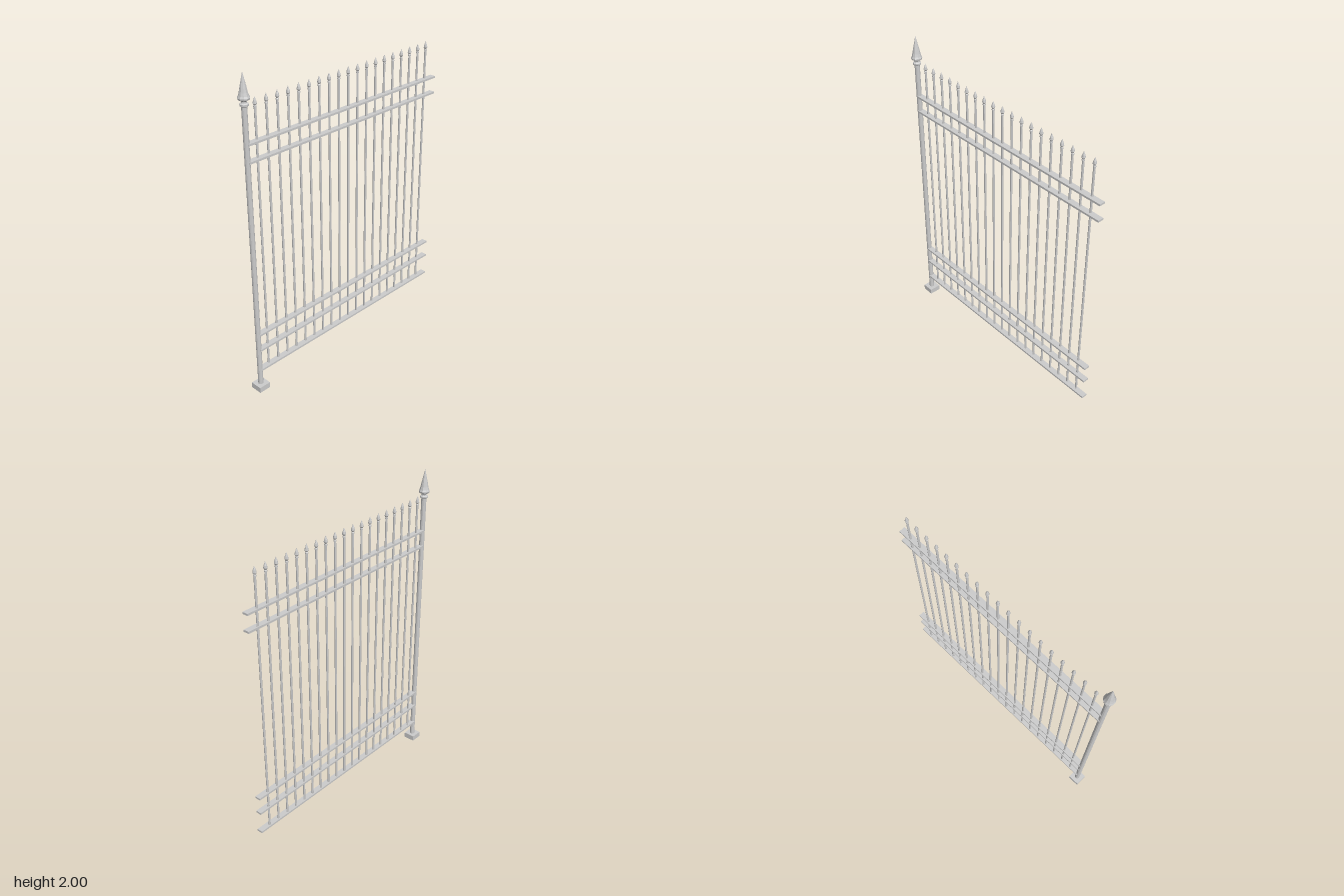
import * as THREE from 'three';

const material = new THREE.MeshStandardMaterial({ color: 0xcccccc, flatShading: true });

function addMesh(parent, name, geometry, x, y, z) {
  const mesh = new THREE.Mesh(geometry, material);
  mesh.name = name;
  mesh.position.set(x, y, z);
  parent.add(mesh);
  return mesh;
}

// Turned shape from [radius, height] pairs, bottom to top
function turned(profile, sides) {
  return new THREE.LatheGeometry(profile.map(([r, y]) => new THREE.Vector2(r, y)), sides);
}

export function createModel() {
  const fence = new THREE.Group();
  fence.name = 'fencePanel';

  // Post on its square foot, with a turned spear finial
  const postX = -0.752;
  const post = new THREE.Group();
  post.name = 'post';
  post.position.x = postX;
  fence.add(post);
  addMesh(post, 'postFoot', new THREE.BoxGeometry(0.077, 0.036, 0.077), 0, 0.018, 0);
  addMesh(post, 'postShaft', new THREE.CylinderGeometry(0.016, 0.016, 1.79, 12), 0, 0.925, 0);
  addMesh(post, 'postFinial', turned([
    [0, 1.812], [0.017, 1.812], [0.025, 1.818], [0.025, 1.828], [0.016, 1.834],
    [0.016, 1.842], [0.032, 1.852], [0.034, 1.861], [0.029, 1.872], [0.024, 1.89],
    [0.019, 1.915], [0.009, 1.96], [0, 2],
  ], 10), 0, 0, 0);

  // Flat horizontal rails running from the post to the free end
  const rails = new THREE.Group();
  rails.name = 'rails';
  fence.add(rails);
  const railEnd = 0.787;
  const railGeometry = new THREE.BoxGeometry(railEnd - postX, 0.012, 0.038);
  for (const y of [0.138, 0.281, 0.39, 1.498, 1.602]) {
    addMesh(rails, 'rail', railGeometry, (railEnd + postX) / 2, y, 0);
  }

  // Evenly spaced pickets, each with a small spear tip
  const barGeometry = new THREE.CylinderGeometry(0.0068, 0.0068, 1.66, 8);
  const tipGeometry = turned([
    [0, 1.788], [0.009, 1.788], [0.009, 1.795], [0.0065, 1.799],
    [0.0115, 1.808], [0.009, 1.822], [0, 1.847],
  ], 8);
  for (let i = 0; i < 19; i++) {
    const picket = new THREE.Group();
    picket.name = 'picket';
    picket.position.set(-0.677 + i * 0.077, 0, -0.006);
    addMesh(picket, 'picketBar', barGeometry, 0, 0.968, 0);
    addMesh(picket, 'picketTip', tipGeometry, 0, 0, 0);
    fence.add(picket);
  }

  return fence;
}
